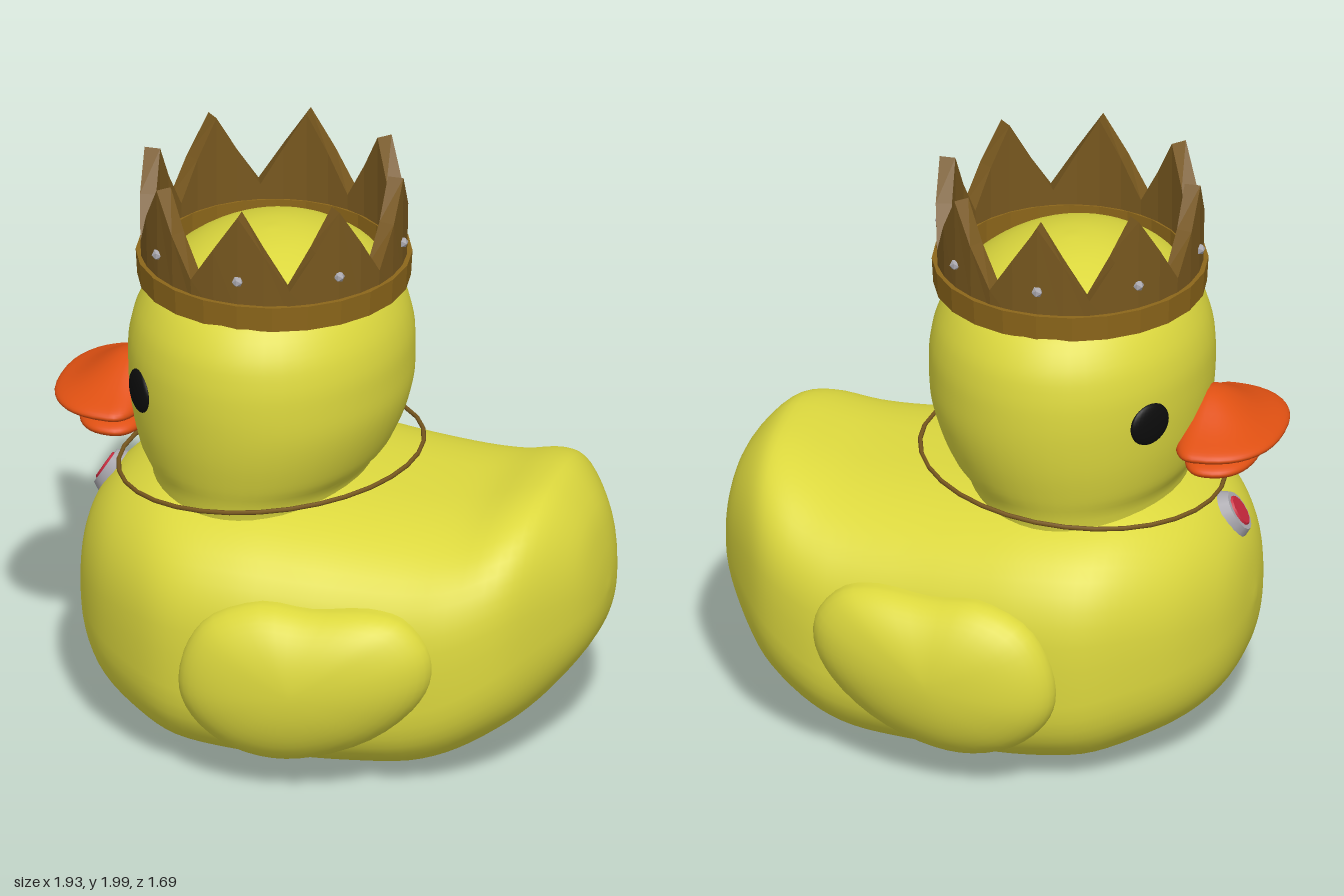
import * as THREE from 'three';
import { mergeVertices } from 'three/addons/utils/BufferGeometryUtils.js';

const mat = (name, color) => {
  const m = new THREE.MeshStandardMaterial({ color });
  m.name = name;
  return m;
};

// Skin a row of rings (counter-clockwise about the direction of advance)
function loft(rings, { closed = false, flat = false, flip = false } = {}) {
  const n = rings[0].length, index = [];
  const last = closed ? rings.length : rings.length - 1;
  for (let i = 0; i < last; i++) {
    const k = (i + 1) % rings.length;
    for (let j = 0; j < n; j++) {
      const j2 = (j + 1) % n;
      const a = i * n + j, b = i * n + j2, c = k * n + j2, d = k * n + j;
      index.push(...(flip ? [a, c, b, a, d, c] : [a, b, c, a, c, d]));
    }
  }
  let g = new THREE.BufferGeometry().setFromPoints(rings.flat());
  g.setIndex(index);
  g = flat ? g.toNonIndexed() : mergeVertices(g);
  g.computeVertexNormals();
  return g;
}

// Smooth interpolation through rows of numbers
function sample(rows, steps) {
  const curves = rows[0].map((_, c) => new THREE.SplineCurve(rows.map((r) => new THREE.Vector2(r[c], 0))));
  return Array.from({ length: steps + 1 }, (_, i) => curves.map((c) => c.getPoint(i / steps).x));
}

const power = (v, p) => Math.sign(v) * Math.pow(Math.abs(v), p);

function bodyGeometry() {
  // x, bottom, top, half width
  const rows = [
    [-0.87, 0.48, 0.48, 0], [-0.85, 0.33, 0.64, 0.17], [-0.8, 0.21, 0.76, 0.32], [-0.7, 0.125, 0.86, 0.48],
    [-0.55, 0.065, 0.93, 0.62], [-0.4, 0.025, 0.95, 0.7], [-0.2, 0.01, 0.95, 0.72], [0, 0.008, 0.93, 0.705],
    [0.2, 0.01, 0.91, 0.68], [0.4, 0.025, 0.9, 0.655], [0.55, 0.075, 0.91, 0.625], [0.7, 0.16, 0.955, 0.55],
    [0.8, 0.24, 0.95, 0.44], [0.9, 0.36, 0.84, 0.27], [0.945, 0.46, 0.7, 0.14], [0.96, 0.57, 0.57, 0],
  ];
  const steps = 60, n = 56;
  return loft(sample(rows, steps).map(([x, lo, hi, w], i) => {
    const mid = lo + (hi - lo) * 0.47, round = Math.sin((Math.PI * i) / steps);
    return Array.from({ length: n }, (_, j) => {
      const a = (j / n) * Math.PI * 2, c = Math.cos(a), s = Math.sin(a);
      const p = 2 / (2.1 + (c > 0 ? 0.6 : 1.7) * round);
      return new THREE.Vector3(x, mid + power(c, p) * (c > 0 ? hi - mid : mid - lo), power(s, p) * Math.max(w, 0));
    });
  }));
}

function headGeometry() {
  // y, centre x, radius in x, radius in z
  const rows = [
    [0.8, -0.26, 0.36, 0.47], [0.92, -0.255, 0.37, 0.49], [1.0, -0.245, 0.42, 0.515], [1.1, -0.235, 0.455, 0.54],
    [1.2, -0.228, 0.475, 0.555], [1.3, -0.228, 0.48, 0.56], [1.4, -0.228, 0.475, 0.553], [1.5, -0.228, 0.445, 0.525],
    [1.6, -0.228, 0.38, 0.45], [1.69, -0.228, 0.26, 0.31], [1.745, -0.228, 0.12, 0.14], [1.76, -0.228, 0, 0],
  ];
  const n = 48;
  return loft(sample(rows, 44).map(([y, cx, rx, rz]) => Array.from({ length: n }, (_, j) => {
    const a = (j / n) * Math.PI * 2;
    return new THREE.Vector3(cx + rx * Math.sin(a), y, rz * Math.cos(a));
  })));
}

// Domed wing: the outline shrinks as it bulges outwards
function wingGeometry(side) {
  const outline = [
    [-0.35, 0.36], [-0.33, 0.5], [-0.25, 0.62], [-0.08, 0.685], [0.1, 0.67], [0.3, 0.68], [0.42, 0.65], [0.505, 0.55],
    [0.51, 0.44], [0.45, 0.33], [0.3, 0.205], [0.1, 0.13], [-0.05, 0.12], [-0.2, 0.165], [-0.31, 0.26],
  ].reverse().map(([x, y]) => new THREE.Vector3(x, y, 0));
  const edge = new THREE.CatmullRomCurve3(outline, true).getPoints(48).slice(0, -1);
  const rings = [edge.map((p) => new THREE.Vector3(p.x, p.y, side * 0.5))];
  for (let i = 0; i <= 12; i++) {
    const a = (i / 12) * Math.PI / 2, t = Math.cos(a);
    rings.push(edge.map((p) => {
      const x = 0.07 + (p.x - 0.07) * t, y = 0.41 + (p.y - 0.41) * t;
      return new THREE.Vector3(x, y, side * (0.67 - 0.1 * (x - 0.07) + 0.17 * Math.sin(a)));
    }));
  }
  return loft(rings, { flip: side < 0 });
}

// Sphere squared off in plan, with an optional ridge rising towards the head
function beakGeometry(cx, cy, front, back, ry, rz, ridge) {
  let g = new THREE.SphereGeometry(1, 40, 28);
  const pos = g.attributes.position;
  for (let i = 0; i < pos.count; i++) {
    const sx = pos.getX(i), sy = pos.getY(i), sz = pos.getZ(i);
    const x = power(sx, 0.85) * (sx < 0 ? front : back), z = power(sz, 0.85) * rz;
    const ramp = THREE.MathUtils.smoothstep(x, -front * 0.9, 0.01);
    const lift = Math.max(sy, 0) * ridge * ramp * Math.exp(-((z / 0.17) ** 2));
    pos.setXYZ(i, cx + x, cy + sy * ry + lift, z);
  }
  g.deleteAttribute('uv');
  g.deleteAttribute('normal');
  g = mergeVertices(g, 1e-5);
  g.computeVertexNormals();
  return g;
}

// Faceted ring with a four-cornered section whose top follows a rule
function ringGeometry(steps, inner, outer, bottom, top) {
  return loft(Array.from({ length: steps }, (_, i) => {
    const a = (i / steps) * Math.PI * 2;
    const at = (r, y) => new THREE.Vector3(r * Math.sin(a), y, r * Math.cos(a));
    const y = top(i);
    return [at(inner, y), at(outer, y), at(outer - 0.005, bottom), at(inner, bottom)];
  }), { closed: true, flat: true });
}

export function createModel() {
  const yellow = mat('duckYellow', 0xdcd83e);
  const orange = mat('beakOrange', 0xdf5012);
  const black = mat('eyeBlack', 0x0c0c0c);
  const bronze = mat('crownBronze', 0x78581f);
  const gold = mat('bandGold', 0x8c661a);
  const silver = mat('gemSilver', 0xa8a6ac);
  const red = mat('gemRed', 0xc8283c);

  const model = new THREE.Group();
  model.name = 'crownedDuck';
  const add = (name, geometry, material, parent = model) => {
    const mesh = new THREE.Mesh(geometry, material);
    mesh.name = name;
    parent.add(mesh);
    return mesh;
  };

  add('body', bodyGeometry(), yellow);
  add('head', headGeometry(), yellow);
  add('upperBeak', beakGeometry(-0.72, 1.11, 0.25, 0.1, 0.045, 0.3, 0.09), orange);
  add('lowerBeak', beakGeometry(-0.74, 1.02, 0.145, 0.1, 0.042, 0.22, 0), orange);

  for (const side of [1, -1]) {
    const label = side > 0 ? 'left' : 'right';
    add(label + 'Wing', wingGeometry(side), yellow);
    const eye = add(label + 'Eye', new THREE.SphereGeometry(1, 24, 16), black);
    eye.scale.set(0.082, 0.075, 0.022);
    eye.position.set(-0.59, 1.265, side * 0.364);
    eye.rotation.y = Math.atan2(-1.587, side * 1.16);
  }

  // Crown: eight points above a plain band, one gem under each point
  const crown = new THREE.Group();
  crown.name = 'crown';
  crown.position.x = -0.22;
  model.add(crown);
  const zigzag = [2.0, 1.865, 1.73, 1.865];
  add('crownPoints', ringGeometry(32, 0.4, 0.455, 1.63, (i) => zigzag[i % 4]), bronze, crown);
  add('crownBand', ringGeometry(24, 0.395, 0.468, 1.585, () => 1.675), gold, crown);
  for (let i = 0; i < 8; i++) {
    const a = (i / 8) * Math.PI * 2;
    const gem = add('crownGem', new THREE.IcosahedronGeometry(0.02, 0), silver, crown);
    gem.position.set(0.452 * Math.sin(a), 1.76, 0.452 * Math.cos(a));
  }

  // Necklace, tilted down towards the chest
  const necklace = add('necklace', new THREE.TorusGeometry(0.52, 0.008, 6, 32).rotateX(Math.PI / 2), bronze);
  necklace.position.set(-0.23, 0.925, 0);
  necklace.rotation.z = 0.105;

  // Oval pendant with a red stone
  const pendant = new THREE.Group();
  pendant.name = 'pendant';
  pendant.position.set(-0.797, 0.782, 0);
  pendant.rotation.z = 1.012;
  model.add(pendant);
  add('pendantSetting', new THREE.CylinderGeometry(0.8, 1, 1, 16).scale(0.09, 0.034, 0.07), silver, pendant);
  add('pendantStone', new THREE.CylinderGeometry(0.9, 1, 1, 12).scale(0.058, 0.008, 0.042), red, pendant).position.y = 0.02;

  return model;
}
